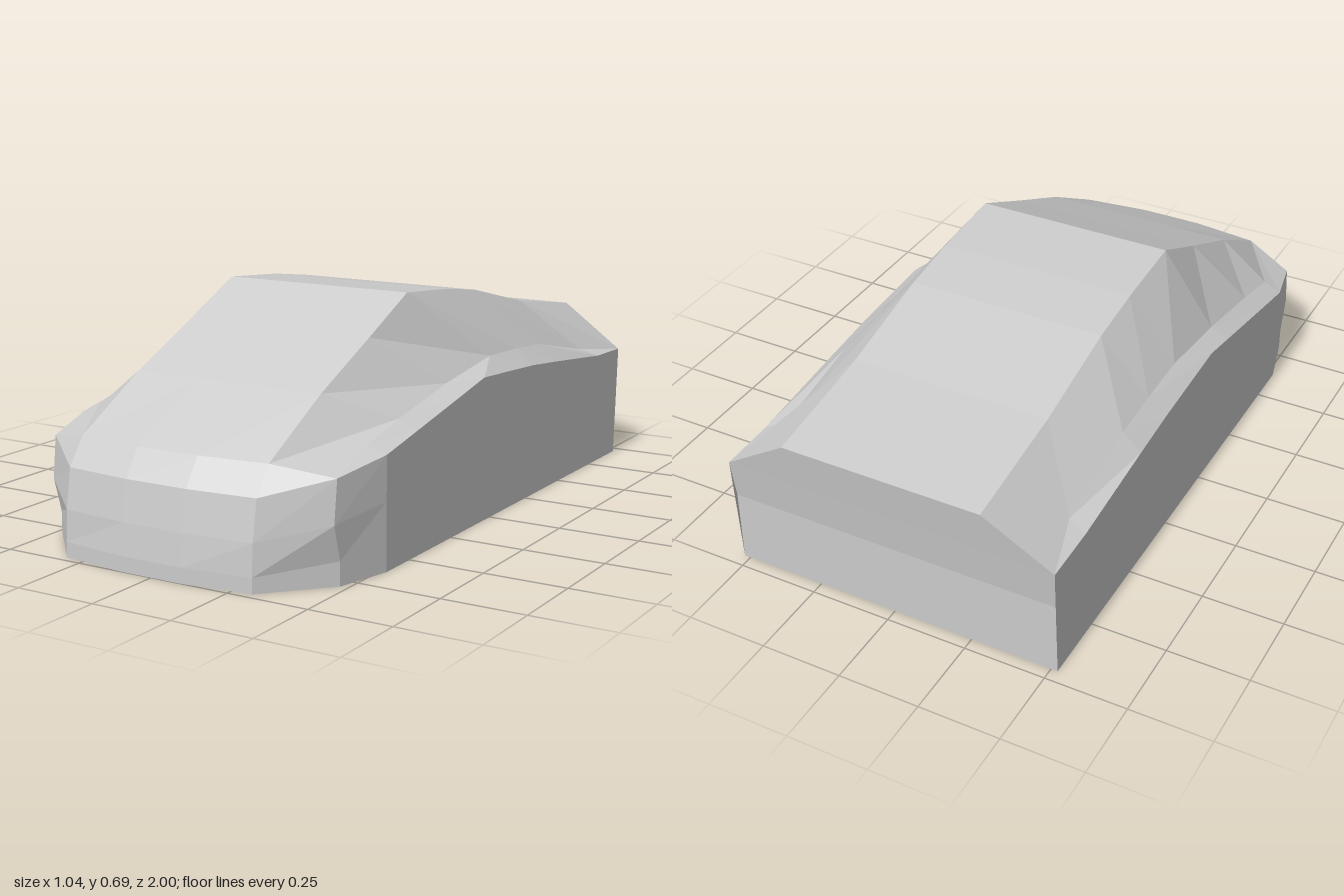
import * as THREE from 'three';

const material = new THREE.MeshStandardMaterial({ color: 0xcccccc, flatShading: true });
const mirror = (line) => line.map(([x, y, z]) => [-x, y, z]);
const along = (x, zy) => zy.map(([z, y]) => [x, y, z]);

// Faceted skin between neighbouring lines of points
function skin(name, ...lines) {
  const pos = [];
  for (let k = 0; k < lines.length - 1; k++) {
    const a = lines[k], b = lines[k + 1];
    for (let i = 0; i < a.length - 1; i++) {
      pos.push(...a[i], ...b[i], ...b[i + 1], ...a[i], ...b[i + 1], ...a[i + 1]);
    }
  }
  const geo = new THREE.BufferGeometry();
  geo.setAttribute('position', new THREE.Float32BufferAttribute(pos, 3));
  geo.computeVertexNormals();
  const mesh = new THREE.Mesh(geo, material);
  mesh.name = name;
  return mesh;
}

export function createModel() {
  const car = new THREE.Group();
  car.name = 'carBody';

  // Long lines of the left half, front to back: roof edge, shoulder, belt
  const tailCorner = [0.52, 0.36, -0.978];
  const roof = along(0.312, [[0.89, 0.335], [0.63, 0.475], [0.37, 0.59], [0.15, 0.69],
    [-0.1, 0.668], [-0.29, 0.64], [-0.62, 0.56], [-1, 0.5]]);
  const shoulder = [...along(0.462, [[0.64, 0.35], [0.46, 0.39], [0.18, 0.44], [-0.1, 0.475],
    [-0.28, 0.468], [-0.45, 0.455], [-0.78, 0.385]]), tailCorner];
  const belt = [...along(0.52, [[0.63, 0.33], [0.46, 0.362], [0.18, 0.415], [0.05, 0.44],
    [-0.28, 0.42], [-0.45, 0.403], [-0.8, 0.365]]), tailCorner];
  const sill = belt.map(([x, , z]) => [x, 0, Math.max(z, -0.96)]);

  // Nose columns, top to bottom, from the wing to the middle
  const wing = along(0.52, [[0.63, 0.33], [0.63, 0.33], [0.63, 0.2], [0.63, 0.08], [0.63, 0]]);
  const corner = along(0.476, [[0.815, 0.3], [0.815, 0.3], [0.83, 0.175], [0.8, 0.07], [0.8, 0]]);
  const lamp = along(0.312, [[0.89, 0.335], [0.95, 0.255], [0.97, 0.138], [0.975, 0.045], [0.975, 0]]);
  const middle = along(0.1, [[0.915, 0.335], [0.97, 0.255], [0.99, 0.138], [1, 0.045], [1, 0]]);
  car.add(skin('nose', wing, corner, lamp, middle,
    mirror(middle), mirror(lamp), mirror(corner), mirror(wing)));

  // Hood with a bowed front edge
  const hoodMiddle = [middle[0], [0.1, 0.475, 0.63]];
  const hoodEdge = roof.slice(0, 2);
  car.add(skin('hood', mirror(hoodEdge), mirror(hoodMiddle), hoodMiddle, hoodEdge));

  // Panels spanning the full width
  const span = (name, from, to) => {
    const edge = roof.slice(from, to + 1);
    car.add(skin(name, mirror(edge), edge));
  };
  span('windshield', 1, 3);
  span('roof', 3, 5);
  span('rearWindow', 5, 7);

  // Panels on both sides; mirrored lines swap order to keep facing out
  const bothSides = (name, a, b) => car.add(
    skin(name + 'Left', a, b), skin(name + 'Right', mirror(b), mirror(a)));
  bothSides('fender', [corner[0], roof[0]], [belt[0], shoulder[0]]);
  bothSides('sideWindow', roof, shoulder);
  bothSides('shoulder', shoulder, belt);

  // Door side, with the small undercut at the tail
  const waist = [0.52, 0.23, -0.96];
  bothSides('bodySide', belt, sill);
  bothSides('tailEdge', [tailCorner, tailCorner], [sill[7], waist]);

  // Tail
  const tail = [roof[7], tailCorner, waist, [0.52, 0, -0.96]];
  car.add(skin('tail', mirror(tail), tail));

  // Floor
  const floorEdge = [middle[4], lamp[4], corner[4], ...sill];
  car.add(skin('floor', floorEdge, mirror(floorEdge)));

  return car;
}
